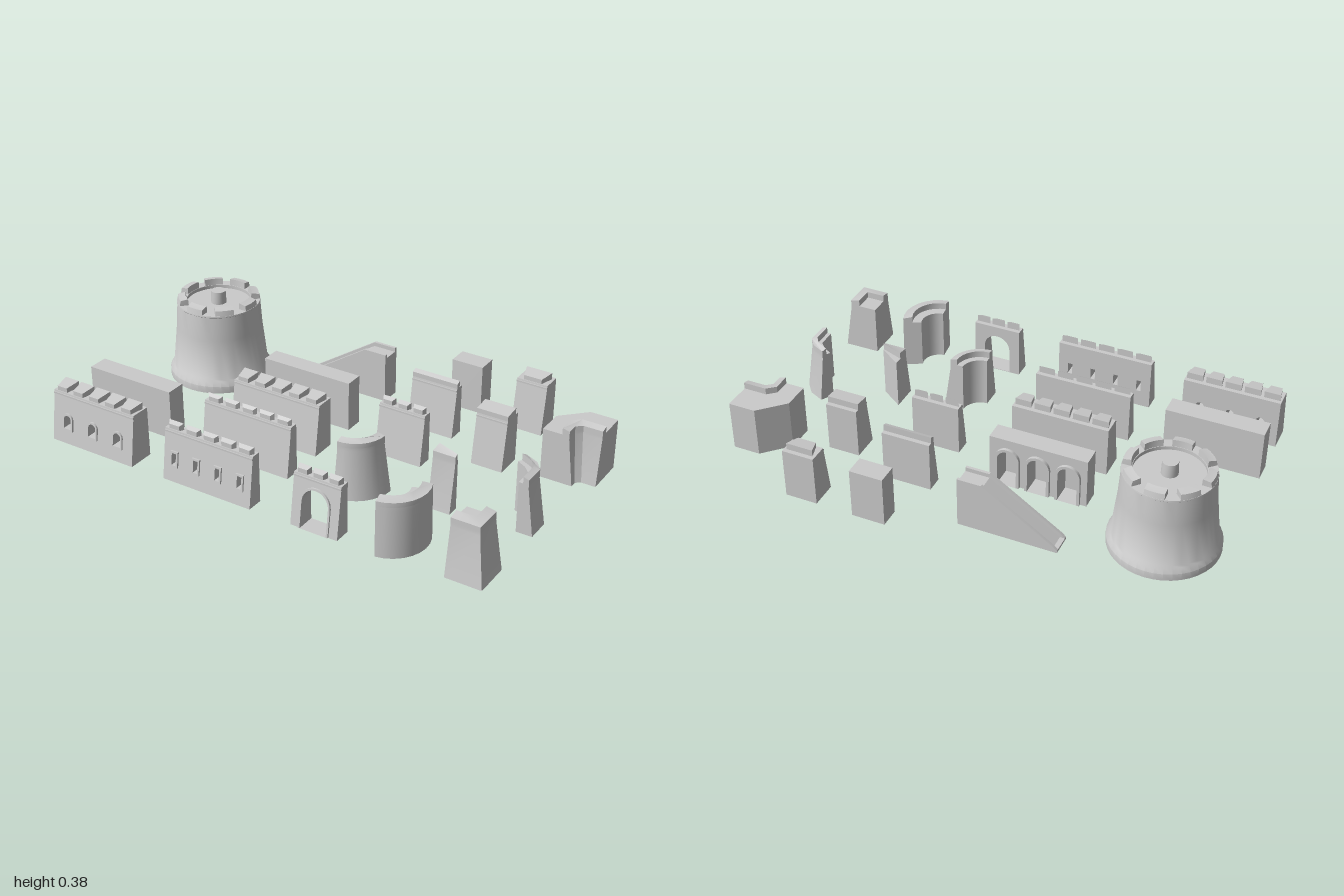
import * as THREE from 'three';
import { toCreasedNormals } from 'three/addons/utils/BufferGeometryUtils.js';

const stone = new THREE.MeshStandardMaterial({ color: 0xcccccc, side: THREE.DoubleSide });
const WALK = 0.215, TOP = 0.243;

function add(parent, name, geo) {
  const mesh = new THREE.Mesh(toCreasedNormals(geo, 0.55), stone);
  mesh.name = name;
  parent.add(mesh);
  return mesh;
}

function group(parent, name, x, z) {
  const g = new THREE.Group();
  g.name = name;
  g.position.set(x, 0, z);
  parent.add(g);
  return g;
}

// Shell through stacked outlines: levels = [[y, [[x, z, extraY], ...]], ...], capped on top
function loft(levels) {
  const flip = THREE.ShapeUtils.area(levels[0][1].map(p => new THREE.Vector2(p[0], p[1]))) < 0;
  const rings = levels.map(([y, pts]) => {
    const ring = pts.map(([x, z, e = 0]) => new THREE.Vector3(x, y + e, z));
    return flip ? ring.reverse() : ring;
  });
  const n = rings[0].length, out = [];
  for (let l = 0; l + 1 < rings.length; l++) {
    for (let i = 0; i < n; i++) {
      const j = (i + 1) % n, lo = rings[l], up = rings[l + 1];
      out.push(lo[i], up[i], lo[j], lo[j], up[i], up[j]);
    }
  }
  const top = rings[rings.length - 1];
  for (const [a, b, c] of THREE.ShapeUtils.triangulateShape(top.map(p => new THREE.Vector2(p.x, p.z)), []))
    out.push(top[a], top[c], top[b]);
  return new THREE.BufferGeometry().setFromPoints(out);
}

// Extrusion along z ending at z = front, left open underneath
function slab(shape, depth, front = 0) {
  const src = new THREE.ExtrudeGeometry(shape, { depth, bevelEnabled: false, curveSegments: 8 }).translate(0, 0, front - depth);
  const p = src.attributes.position, keep = [];
  for (let i = 0; i < p.count; i += 3) {
    if (Math.max(p.getY(i), p.getY(i + 1), p.getY(i + 2)) < 1e-4) continue;
    for (let k = 0; k < 3; k++) keep.push(new THREE.Vector3().fromBufferAttribute(p, i + k));
  }
  return new THREE.BufferGeometry().setFromPoints(keep);
}

// Lean the part of a geometry in front of z = limit backwards with height
function lean(geo, amount, limit) {
  const p = geo.attributes.position;
  for (let i = 0; i < p.count; i++)
    if (p.getZ(i) > limit) p.setZ(i, p.getZ(i) - amount * p.getY(i) / WALK);
  return geo;
}

// Opening outline, square or round headed
function opening(Type, { x, y, w, h, round }, grow = 0) {
  const r = w / 2 + grow, s = new Type(), low = Math.max(y - grow, 0.002);
  s.moveTo(x - r, low);
  s.lineTo(x + r, low);
  if (round) s.absarc(x, y + h - w / 2, r, 0, Math.PI, false);
  else { s.lineTo(x + r, y + h + grow); s.lineTo(x - r, y + h + grow); }
  s.closePath();
  return s;
}

function frame(o, grow) {
  const s = opening(THREE.Shape, o, grow);
  s.holes.push(opening(THREE.Path, o));
  return s;
}

function rect(w, h) {
  return new THREE.Shape([[-w / 2, 0], [w / 2, 0], [w / 2, h], [-w / 2, h]].map(p => new THREE.Vector2(...p)));
}

// Straight wall: sloping front at z = 0, upright back, optional openings and merlons
function wall(root, name, x, zFront, w, depth, { batter = 0.032, merlons = 0, solid = false, openings = [] } = {}) {
  const g = group(root, name, x, zFront);
  const face = rect(w, WALK);
  openings.forEach(o => face.holes.push(opening(THREE.Path, o)));
  add(g, 'wallBody', lean(slab(face, depth), batter, -0.001));
  openings.forEach(o => add(g, 'openingFrame', lean(slab(frame(o, 0.008), 0.012, 0.007), batter, -1)));
  const zf = -batter, zb = 0.018 - depth;
  if (merlons || solid) {
    const band = new THREE.BoxGeometry(w, 0.007, 0.006);
    add(g, 'stringCourse', band.translate(0, 0.204, zf + 0.002));
  }
  if (solid) {
    const top = [[-w / 2, zf, -0.008], [w / 2, zf, -0.008], [w / 2, zb], [-w / 2, zb]];
    add(g, 'parapet', loft([[WALK, top.map(p => p.slice(0, 2))], [TOP, top]]));
  }
  // Merlons narrow towards the front so the embrasures open outwards
  const step = w / (merlons || 1);
  for (let i = 0; i < merlons; i++) {
    const c = (i + 0.5) * step - w / 2, a = step * 0.29, b = step * 0.42;
    const top = [[c - a, zf - 0.003, -0.009], [c + a, zf - 0.003, -0.009], [c + b, zb], [c - b, zb]];
    add(g, 'merlon', loft([[WALK, top.map(p => p.slice(0, 2))], [TOP, top]]));
  }
  return g;
}

// Bent wall: outer foot, outer top and inner lines, with a raised parapet out to the mid line
function bentWall(root, name, foot, head, inner, mid) {
  const g = group(root, name, 0, 0);
  const close = (a, b) => [...a, ...[...b].reverse()];
  add(g, 'wallBody', loft([[0, close(foot, inner)], [0.2, close(head, inner)], [WALK, close(head, inner)]]));
  const rim = close(head.map(p => [p[0], p[1], -0.008]), mid);
  add(g, 'parapet', loft([[WALK, rim.map(p => p.slice(0, 2))], [TOP, rim]]));
}

function arc(cx, cz, r, from, to, n = 8) {
  return Array.from({ length: n + 1 }, (_, i) => {
    const t = THREE.MathUtils.degToRad(from + (to - from) * i / n);
    return [cx + r * Math.cos(t), cz + r * Math.sin(t)];
  });
}

function roundTower(root) {
  const g = group(root, 'roundTower', -0.78, -0.25);
  const profile = [[0.22, 0], [0.22, 0.03], [0.208, 0.05], [0.203, 0.058], [0.184, 0.23], [0.177, 0.335],
    [0.179, 0.337], [0.178, 0.343], [0.137, 0.343], [0.137, 0.328], [0, 0.328]];
  add(g, 'towerBody', new THREE.LatheGeometry(profile.map(p => new THREE.Vector2(...p)), 40));
  add(g, 'towerKnob', new THREE.CylinderGeometry(0.031, 0.033, 0.055, 16).translate(0, 0.355, 0));
  for (let i = 0; i < 8; i++) {
    const a = i * 45, ring = (ro, ri, e) => [
      ...arc(0, 0, ro, a - 13, a + 13, 4).map(p => [...p, e]), ...arc(0, 0, ri, a + 16, a - 16, 4)];
    add(g, 'towerMerlon', loft([[0.342, ring(0.177, 0.139, 0)], [0.371, ring(0.172, 0.141, -0.006)]]));
  }
}

function ramp(root) {
  const g = group(root, 'rampWall', 0, -0.39);
  const side = lift => new THREE.Shape([[-0.44, 0], [-0.03, 0], [-0.03, 0.2 + lift], [-0.13, 0.2 + lift],
    [-0.42, 0.01 + lift], [-0.44, 0.01]].map(p => new THREE.Vector2(...p)));
  add(g, 'rampBody', slab(side(0), 0.066, -0.012));
  add(g, 'rampCurbFront', slab(side(0.017), 0.012, 0));
  add(g, 'rampCurbBack', slab(side(0.017), 0.012, -0.078));
}

export function createModel() {
  const root = new THREE.Group();
  root.name = 'fortressWallSet';
  roundTower(root);
  ramp(root);

  // Long walls
  const row = (xs, o) => xs.map(x => ({ x, ...o }));
  wall(root, 'plainWall', -0.797, 0.34, 0.405, 0.085, { batter: 0 });
  const loops = row([-0.127, 0, 0.127], { y: 0.067, w: 0.036, h: 0.056, round: true });
  wall(root, 'thickWindowWall', -0.797, 0.595, 0.405, 0.115, { merlons: 5, openings: loops });
  wall(root, 'thickWall', -0.235, 0.142, 0.41, 0.112, { merlons: 5 });
  wall(root, 'thinWall', -0.235, 0.34, 0.41, 0.067, { merlons: 5 });
  const slits = row([-0.154, -0.051, 0.051, 0.154], { y: 0.072, w: 0.02, h: 0.05 });
  wall(root, 'thinWindowWall', -0.235, 0.592, 0.41, 0.07, { merlons: 5, openings: slits });

  // Wall with three niches in its back
  const bays = row([-0.127, 0, 0.127], { y: 0, w: 0.08, h: 0.165, round: true });
  const arcade = group(root, 'arcadeWall', -0.235, -0.105);
  const back = rect(0.41, WALK);
  bays.forEach(o => back.holes.push(opening(THREE.Path, o)));
  add(arcade, 'arcadeBody', slab(back, 0.072, -0.008));
  add(arcade, 'arcadeFront', slab(rect(0.41, WALK), 0.008));
  bays.forEach(o => add(arcade, 'archFrame', slab(frame(o, 0.012), 0.014, -0.079)));

  // Short walls, gate and single bays
  wall(root, 'plainBlock', 0.29, -0.515, 0.14, 0.085, { batter: 0 });
  wall(root, 'shortSolidWall', 0.256, -0.27, 0.205, 0.07, { solid: true });
  wall(root, 'shortWall', 0.256, -0.012, 0.205, 0.07, { merlons: 3 });
  const gate = [{ x: 0, y: 0, w: 0.115, h: 0.17, round: true }];
  wall(root, 'gateWall', 0.256, 0.59, 0.205, 0.073, { merlons: 3, openings: gate });
  wall(root, 'merlonBay', 0.585, -0.485, 0.135, 0.112, { merlons: 1 });
  wall(root, 'solidBay', 0.58, -0.148, 0.135, 0.117, { solid: true });

  // Curved walls
  const quarter = r => arc(0.19, 0.195, r, 0, 90);
  bentWall(root, 'curvedSlopingWall', quarter(0.16), quarter(0.13), quarter(0.075), quarter(0.1));
  const bend = r => arc(0.505, 0.45, r, -25, 83);
  bentWall(root, 'curvedUprightWall', bend(0.15), bend(0.147), bend(0.07), bend(0.108));

  // Corner and angled walls
  bentWall(root, 'wedgeWall', [[0.525, 0.22], [0.62, 0.22]], [[0.525, 0.19], [0.62, 0.19]],
    [[0.525, 0.105], [0.62, 0.17]], [[0.525, 0.14], [0.62, 0.175]]);
  bentWall(root, 'innerCorner',
    [[0.92, -0.205], [0.92, -0.235], [0.94, -0.25], [1, -0.25]],
    [[0.895, -0.205], [0.895, -0.255], [0.92, -0.275], [1, -0.275]],
    [[0.785, -0.205], [0.785, -0.32], [0.885, -0.42], [1, -0.42]],
    [[0.865, -0.205], [0.865, -0.275], [0.9, -0.305], [1, -0.305]]);
  bentWall(root, 'angledWall',
    [[0.84, 0.005], [0.905, 0.035], [0.945, 0.085], [0.945, 0.185]],
    [[0.83, 0.028], [0.887, 0.055], [0.918, 0.095], [0.918, 0.185]],
    [[0.81, 0.058], [0.85, 0.08], [0.878, 0.11], [0.878, 0.185]],
    [[0.82, 0.043], [0.87, 0.069], [0.895, 0.103], [0.895, 0.185]]);
  bentWall(root, 'outerCorner',
    [[0.945, 0.425], [0.945, 0.575], [0.795, 0.575]],
    [[0.912, 0.425], [0.912, 0.543], [0.795, 0.543]],
    [[0.795, 0.425]],
    [[0.872, 0.425], [0.872, 0.503], [0.795, 0.503]]);
  return root;
}
